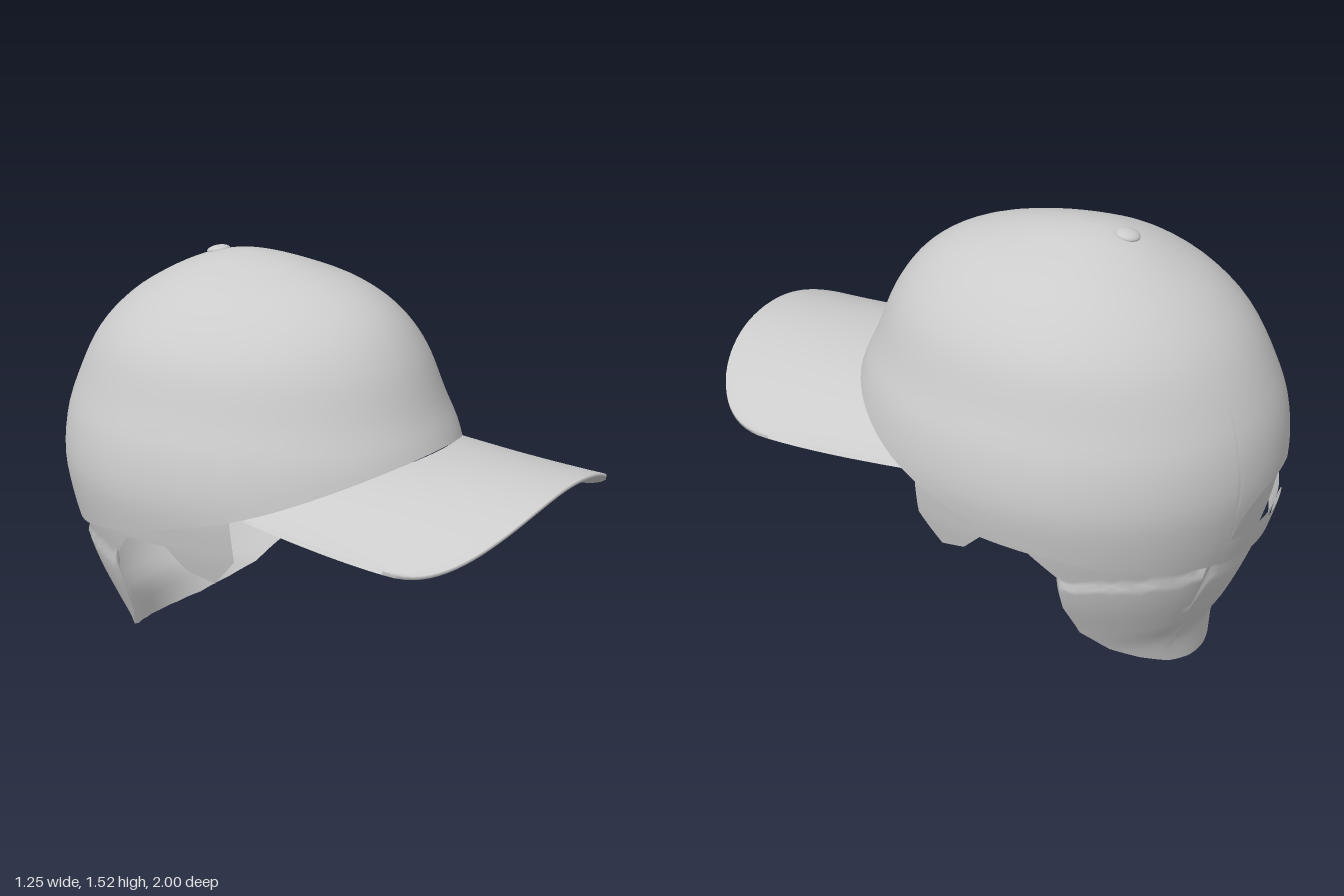
import * as THREE from 'three';

const material = new THREE.MeshStandardMaterial({ color: 0xcccccc, side: THREE.DoubleSide, roughness: 0.9 });

// Smooth interpolation through rows [key, value, value, ...]
function smooth(rows, key, c) {
  const n = rows.length - 1;
  if (key <= rows[0][0]) return rows[0][c];
  if (key >= rows[n][0]) return rows[n][c];
  let i = 0;
  while (key > rows[i + 1][0]) i++;
  const slope = (k) => {
    const a = rows[Math.max(0, k - 1)], b = rows[Math.min(n, k + 1)];
    return (b[c] - a[c]) / (b[0] - a[0]);
  };
  const [p, q] = [rows[i], rows[i + 1]], h = q[0] - p[0], t = (key - p[0]) / h;
  const e = t * t * (3 - 2 * t);
  return p[c] * (1 - e) + q[c] * e + h * (slope(i) * t * (1 - t) ** 2 - slope(i + 1) * t * t * (1 - t));
}

// Head sections: height, half width, front z, back z
const angleOf = (y) => Math.asin(THREE.MathUtils.clamp((y - 0.5) / 1.025, -1, 1));
const sections = [
  [0, 0.37, 0.55, -0.79], [0.15, 0.43, 0.55, -0.8], [0.25, 0.47, 0.55, -0.85], [0.4, 0.535, 0.55, -0.91],
  [0.53, 0.575, 0.56, -0.95], [0.65, 0.605, 0.56, -0.98], [0.8, 0.625, 0.54, -1], [0.95, 0.605, 0.505, -0.985],
  [1.07, 0.562, 0.45, -0.945], [1.24, 0.495, 0.375, -0.85], [1.36, 0.395, 0.28, -0.73],
  [1.44, 0.285, 0.15, -0.6], [1.49, 0.17, -0.02, -0.49], [1.525, 0, -0.3, -0.3],
].map(([y, ...rest]) => [angleOf(y), ...rest]);
const CENTRE = -0.3;

// Point on the head surface; phi runs around from the back
function headPoint(phi, y, offset = 0) {
  const a = angleOf(y), c = Math.cos(phi);
  const depth = c > 0 ? CENTRE - smooth(sections, a, 3) : smooth(sections, a, 2) - CENTRE;
  return new THREE.Vector3(
    Math.sin(phi) * Math.max(0, smooth(sections, a, 1) + offset), y,
    CENTRE - c * Math.max(0, depth + offset));
}

// Sloping lower edge of the cap
const rimRows = [[-1, 0.52], [-0.9, 0.537], [-0.5, 0.62], [-0.2, 0.7], [0.13, 0.8], [0.51, 0.957]];
const rimAt = (z) => smooth(rimRows, z, 1);
const rim = (phi) => rimAt(CENTRE - Math.cos(phi) * (Math.cos(phi) > 0 ? 0.65 : 0.81));

// Arched opening at the back
const ARCH = 0.41;
function arch(phi) {
  const s = Math.abs(phi) / ARCH;
  return s < 1 ? 0.53 + 0.265 * (1 - s ** 2.6) ** (1 / 2.6) : 0;
}

// Surface from columns of points, optionally joined at the ends
function surface(name, columns, closed = false) {
  const rows = columns[0].length, n = columns.length, index = [];
  for (let i = 0; i < (closed ? n : n - 1); i++) {
    for (let j = 0; j < rows - 1; j++) {
      const a = i * rows + j, b = ((i + 1) % n) * rows + j;
      index.push(a, a + 1, b, a + 1, b + 1, b);
    }
  }
  const geometry = new THREE.BufferGeometry().setFromPoints(columns.flat());
  geometry.setIndex(index);
  geometry.computeVertexNormals();
  const mesh = new THREE.Mesh(geometry, material);
  mesh.name = name;
  return mesh;
}

const range = (from, to, steps) => Array.from({ length: steps + 1 }, (_, i) => from + (to - from) * i / steps);

// Strip of the head surface between two heights
function strip(name, phis, low, high, rows, offset) {
  return surface(name, phis.map((phi) =>
    range(low(phi), high(phi), rows).map((y) => headPoint(phi, y, offset))));
}

function makeCrown() {
  const phis = [...range(-Math.PI, -ARCH - 0.001, 50), ...range(-ARCH, ARCH, 40), ...range(ARCH + 0.001, Math.PI, 50)];
  phis.pop();
  return surface('crown', phis.map((phi) => {
    const low = Math.max(rim(phi), arch(phi));
    return range(0, 1, 32).map((t) => headPoint(phi, low + (1.525 - low) * Math.sin(t * Math.PI / 2)));
  }), true);
}

// Curved brim, a thin slab that bends down to both sides
function makeBrim() {
  const columns = range(-Math.PI / 2, Math.PI / 2, 48).map((a) => {
    const u = Math.sin(a), x = 0.53 * u;
    const zIn = CENTRE + 0.8 * Math.sqrt(1 - (x / 0.61) ** 2);
    const zOut = 0.65 + 0.35 * Math.max(0, 1 - Math.abs(u) ** 2.5) ** 0.4;
    const yIn = rimAt(zIn), yOut = 0.955 - 0.205 * u * u;
    const top = range(0, 1, 12).map((t) => new THREE.Vector3(x, 
      THREE.MathUtils.lerp(yIn, yOut, Math.sin(t * Math.PI / 2)), THREE.MathUtils.lerp(zIn, zOut, t)));
    const bottom = top.map((p) => p.clone().setY(p.y - 0.012)).reverse();
    return [...top, ...bottom, top[0].clone()];
  });
  return surface('brim', columns.reverse());
}

// Hair below the cap: lower edge from nape to sideburn
const hairEdge = [
  [0, 0.005], [0.25, 0.012], [0.5, 0.035], [0.76, 0.09], [0.98, 0.15], [1.2, 0.25], [1.29, 0.39], [1.32, 0.53],
  [1.46, 0.62], [1.69, 0.63], [1.78, 0.55], [1.9, 0.52], [2.01, 0.62], [2.02, 0.8],
];
function makeHair() {
  const half = [];
  for (let i = 0; i < hairEdge.length - 1; i++) {
    const [p, q] = [hairEdge[i], hairEdge[i + 1]];
    for (const t of [0, 0.25, 0.5, 0.75]) half.push([p[0] + (q[0] - p[0]) * t, p[1] + (q[1] - p[1]) * t]);
  }
  half.push(hairEdge.at(-1));
  const all = [...half.slice(1).reverse().map(([phi, y]) => [-phi, y]), ...half];
  return surface('hair', all.map(([phi, low]) => {
    const high = Math.abs(phi) < 0.48 ? 0.84 : rim(phi) + 0.03;
    return range(low, high, 20).map((y) => headPoint(phi, y, y > 0.5 ? -0.018 : -0.005));
  }));
}

// Strap with one rounded end; side is the direction of that end
function makeStrap(name, side, end, offset) {
  const h = 0.052, r = 0.07;
  const half = (phi) => {
    const d = Math.max(0, r - Math.max(0, end - side * phi)) / r;
    return h * Math.sqrt(Math.max(0, 1 - d * d));
  };
  const phis = side > 0 ? range(-0.46, end, 48) : range(-end, 0.46, 48);
  const mid = (phi) => rim(phi) + h + 0.006;
  return strip(name, phis, (p) => mid(p) - half(p), (p) => mid(p) + half(p), 6, offset);
}

export function createModel() {
  const model = new THREE.Group();
  model.name = 'capWithHair';
  model.add(makeCrown(), makeBrim(), makeHair());

  // Sweatband inside the rim, open at the back
  model.add(strip('sweatband', range(ARCH + 0.08, 2 * Math.PI - ARCH - 0.08, 80),
    (p) => rim(p) + 0.003, (p) => rim(p) + 0.09, 4, -0.024));

  model.add(makeStrap('outerStrap', -1, 0.28, 0.012), makeStrap('innerStrap', 1, 0.25, 0.002));

  // Button on the crown
  const button = new THREE.Mesh(new THREE.SphereGeometry(0.042, 20, 12), material);
  button.name = 'button';
  button.scale.y = 0.4;
  button.position.set(0, 1.508, -0.43);
  button.rotation.x = -0.2;
  model.add(button);
  return model;
}
